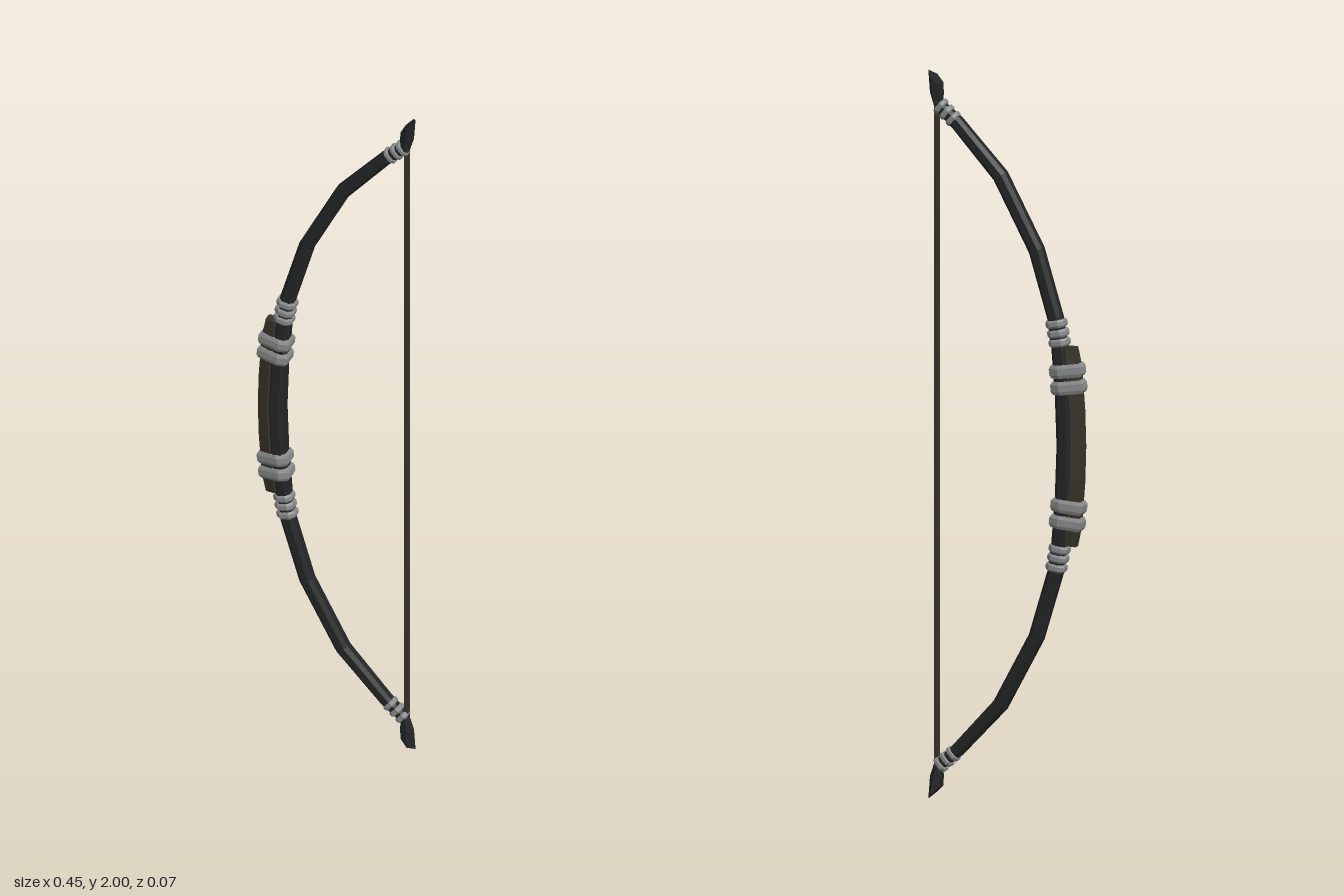
import * as THREE from 'three';

const mat = (name, color) => Object.assign(new THREE.MeshStandardMaterial({ color }), { name });

// Sweeps a cross-section of [across, z] pairs along levels { x, y, a, z, slope }.
// a and z scale the section; slope tilts its across axis in the xy plane.
function sweep(section, levels) {
  const rings = levels.map(({ x, y, a, z, slope }) => {
    const l = Math.hypot(1, slope);
    return section.map(([u, w]) => [x + (u * a) / l, y + (u * a * slope) / l, w * z]);
  });
  const n = section.length, pos = [];
  const tri = (...p) => p.forEach((v) => pos.push(...v));
  for (let k = 0; k < rings.length - 1; k++) {
    for (let i = 0; i < n; i++) {
      const j = (i + 1) % n, lo = rings[k], hi = rings[k + 1];
      tri(lo[i], hi[i], hi[j]);
      tri(lo[i], hi[j], lo[j]);
    }
  }
  const first = rings[0], last = rings[rings.length - 1];
  for (let i = 1; i < n - 1; i++) {
    tri(first[0], first[i], first[i + 1]);
    tri(last[0], last[i + 1], last[i]);
  }
  const geo = new THREE.BufferGeometry();
  geo.setAttribute('position', new THREE.Float32BufferAttribute(pos, 3));
  geo.computeVertexNormals(); // unshared corners keep every facet flat
  return geo;
}

// Turns [x, y, a, z] rows into levels square to the path
function alongPath(rows) {
  return rows.map(([x, y, a, z], i) => {
    const p = rows[Math.max(i - 1, 0)], q = rows[Math.min(i + 1, rows.length - 1)];
    return { x, y, a, z, slope: -(q[0] - p[0]) / (q[1] - p[1]) };
  });
}

// Completes an upper-half path with its reflection about y = 1
const mirrored = (rows) => [
  ...rows.slice(1).reverse().map(([x, y, a, z]) => [x, 2 - y, a, z]), ...rows];

// A bevelled binding band centred at x, y
function band(section, x, y, slope, a, z, height) {
  const l = Math.hypot(1, slope);
  return sweep(section, [[-0.5, 0.88], [-0.25, 1], [0.25, 1], [0.5, 0.88]].map(([t, s]) => ({
    x: x - (slope / l) * t * height, y: y + (t * height) / l, a: a * s, z: z * s, slope })));
}

export function createModel() {
  const dark = mat('dark wood', 0x242526);
  const olive = mat('olive brown grip', 0x38342a);
  const grey = mat('grey binding', 0x8a8b8c);
  const cord = mat('string cord', 0x37342a);

  const bow = new THREE.Group();
  bow.name = 'bow';
  const add = (parent, name, geo, material) => {
    const mesh = new THREE.Mesh(geo, material);
    mesh.name = name;
    parent.add(mesh);
    return mesh;
  };

  const octagon = [[1, -0.5], [1, 0.5], [0.5, 1], [-0.5, 1], [-1, 0.5], [-1, -0.5], [-0.5, -1], [0.5, -1]];
  const gripSection = [[1, -0.7], [1, 0.7], [0.4, 1], [-1, 0.6], [-1, -0.6], [0.4, -1]];
  const tipSection = [[1, 0], [0.1, 1], [-1, 0.75], [-1, -0.75], [0.1, -1]];

  // Curved stave from tip to tip
  add(bow, 'stave', sweep(octagon, alongPath(mirrored([
    [-0.174, 1, 0.024, 0.026], [-0.168, 1.14, 0.023, 0.026], [-0.155, 1.27, 0.021, 0.022],
    [-0.142, 1.35, 0.02, 0.021], [-0.088, 1.53, 0.02, 0.02], [0.016, 1.725, 0.02, 0.019],
    [0.14, 1.86, 0.018, 0.017], [0.196, 1.908, 0.015, 0.016]]))), dark);

  // Handle backing on the outer side of the stave
  add(bow, 'gripBacking', sweep(gripSection, alongPath(mirrored([
    [-0.203, 1, 0.022, 0.024], [-0.2, 1.1, 0.022, 0.024],
    [-0.19, 1.22, 0.023, 0.023], [-0.184, 1.272, 0.019, 0.018]]))), olive);

  // Bowstring
  add(bow, 'string', new THREE.BoxGeometry(0.01, 1.82, 0.018).translate(0.2, 1, 0), cord);

  // Bindings and tip, made for the top and turned over for the bottom
  const half = new THREE.Group();
  half.name = 'upperFittings';
  [[-0.181, 1.163], [-0.177, 1.208]].forEach(([x, y]) =>
    add(half, 'gripBinding', band(gripSection, x, y, -0.12, 0.045, 0.033, 0.036), grey));
  [[-0.154, 1.283], [-0.15, 1.308], [-0.145, 1.334]].forEach(([x, y]) =>
    add(half, 'limbBinding', band(octagon, x, y, -0.18, 0.027, 0.026, 0.021), grey));
  [[0.153, 1.871], [0.171, 1.887], [0.188, 1.902]].forEach(([x, y]) =>
    add(half, 'tipBinding', band(octagon, x, y, -1.16, 0.022, 0.019, 0.015), grey));
  add(half, 'tip', sweep(tipSection, [
    { x: 0.196, y: 1.9, a: 0.012, z: 0.017, slope: -0.8 },
    { x: 0.203, y: 1.938, a: 0.017, z: 0.021, slope: 0 },
    { x: 0.207, y: 1.982, a: 0.025, z: 0.026, slope: 1 }]), dark);
  bow.add(half);

  const lower = half.clone();
  lower.name = 'lowerFittings';
  lower.rotation.x = Math.PI;
  lower.position.y = 2;
  bow.add(lower);
  return bow;
}
